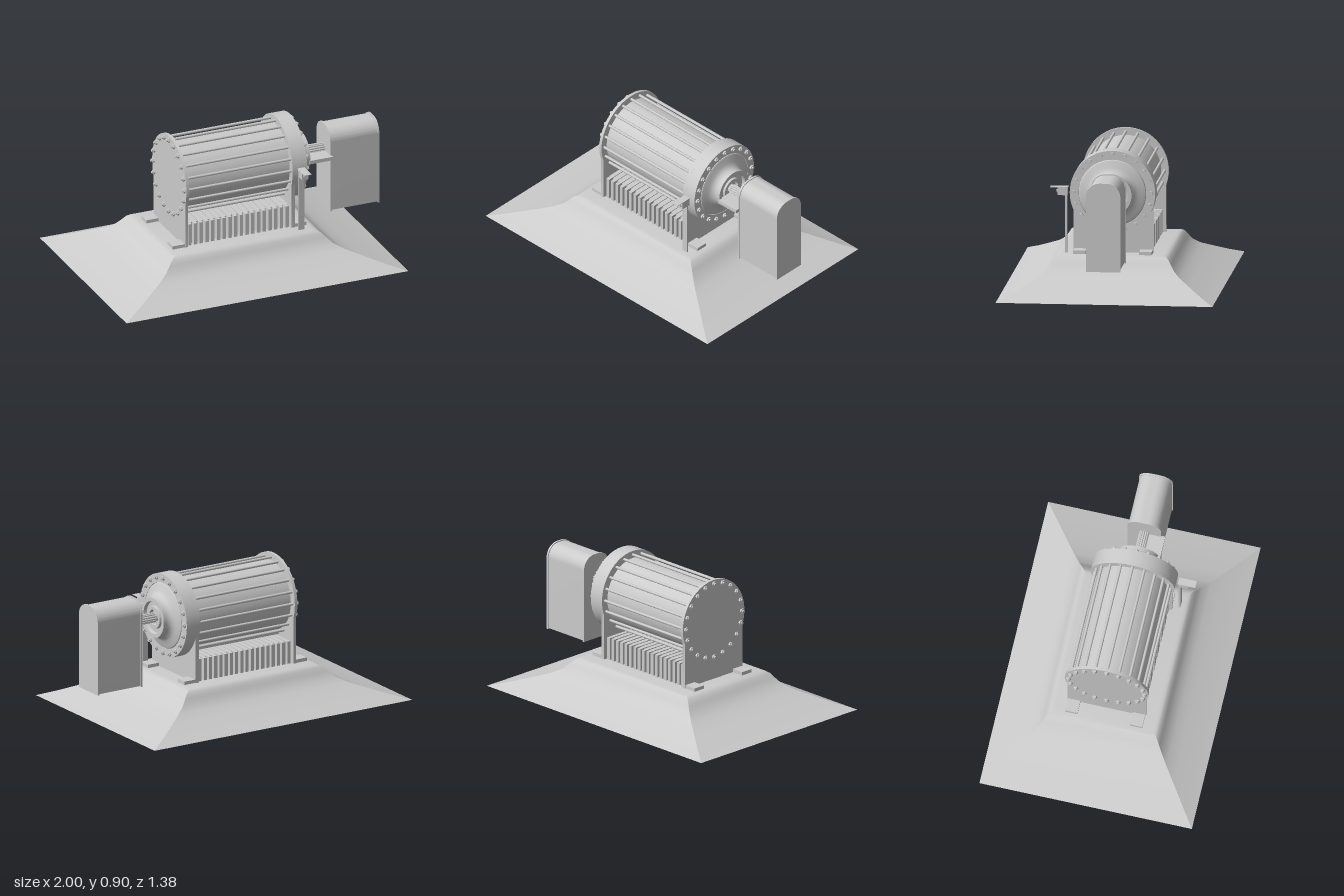
import * as THREE from 'three';
import { toCreasedNormals } from 'three/addons/utils/BufferGeometryUtils.js';

const AXIS_Y = 0.625, BASE_Y = 0.23;

export function createModel() {
  const model = new THREE.Group();
  const grey = new THREE.MeshStandardMaterial({ color: 0xcccccc });

  function add(name, geometry, x = 0, y = 0, z = 0, parent = model) {
    const mesh = new THREE.Mesh(geometry, grey);
    mesh.name = name;
    mesh.position.set(x, y, z);
    parent.add(mesh);
    return mesh;
  }
  // box from min and max corners
  function box(name, x0, x1, y0, y1, z0, z1, parent) {
    return add(name, new THREE.BoxGeometry(x1 - x0, y1 - y0, z1 - z0),
      (x0 + x1) / 2, (y0 + y1) / 2, (z0 + z1) / 2, parent);
  }
  // cylinder lying along x
  function rod(name, r, x0, x1, y, z, sides = 12, parent) {
    const g = new THREE.CylinderGeometry(r, r, x1 - x0, sides).rotateZ(-Math.PI / 2);
    return add(name, g, (x0 + x1) / 2, y, z, parent);
  }
  // profile of [x, radius] turned about the machine axis
  function turned(name, profile) {
    const pts = profile.map(([x, r]) => new THREE.Vector2(r, x));
    const g = new THREE.LatheGeometry(pts, 64).rotateZ(-Math.PI / 2);
    return add(name, toCreasedNormals(g, 0.5), 0, AXIS_Y, 0);
  }
  // (z, y) outline extruded along x
  function slab(name, shape, x0, x1) {
    const g = new THREE.ExtrudeGeometry(shape, { depth: x1 - x0, bevelEnabled: false, curveSegments: 24 });
    g.rotateY(Math.PI / 2);
    return add(name, toCreasedNormals(g, 0.5), x0, 0, 0);
  }

  // flared plinth
  add('plinth', plinthGeometry(), -0.0275, 0, 0);

  // drum body
  rod('drum', 0.225, -0.39, 0.34, AXIS_Y, 0, 64);

  // end plates: round head on straight legs
  const plate = new THREE.Shape();
  const hw = 0.255, R = 0.272, a = -Math.acos(hw / R);
  plate.moveTo(-hw, BASE_Y - 0.005);
  plate.lineTo(hw, BASE_Y - 0.005);
  plate.lineTo(hw, AXIS_Y + R * Math.sin(a));
  plate.absarc(0, AXIS_Y, R, a, Math.PI - a, false);
  plate.closePath();
  slab('rearEndPlate', plate, -0.405, -0.385);
  slab('driveEndPlate', plate, 0.328, 0.352);

  // mounting feet
  for (const s of [-1, 1]) {
    const z0 = s > 0 ? 0.17 : -0.25, z1 = z0 + 0.08;
    box('rearFoot', -0.49, -0.4, BASE_Y - 0.005, 0.252, z0, z1);
    box('driveFoot', 0.345, 0.435, BASE_Y - 0.005, 0.252, z0, z1);
  }

  // tie rods with hexagonal nuts at both ends
  const ties = new THREE.Group();
  ties.name = 'tieRods';
  model.add(ties);
  for (let i = 0; i < 20; i++) {
    const t = i * Math.PI / 10;
    const y = AXIS_Y + 0.247 * Math.cos(t), z = 0.247 * Math.sin(t);
    rod('tieRod', 0.009, -0.39, 0.34, y, z, 10, ties);
    for (const [x0, x1, tip] of [[-0.417, -0.404, -0.426], [0.429, 0.442, 0.45]]) {
      const nut = rod('nut', 0.016, x0, x1, y, z, 6, ties);
      nut.geometry = toCreasedNormals(nut.geometry, 0.3);
      rod('stud', 0.009, Math.min(x0, tip), Math.max(x1, tip), y, z, 10, ties);
    }
  }

  // drive end flange
  turned('flange', [[0.35, 0], [0.35, 0.272], [0.43, 0.272], [0.43, 0.215], [0.42, 0.215], [0.42, 0]]);

  // domed cover flowing into a recessed bearing hub
  turned('bearingCover', [
    [0.42, 0.215], [0.432, 0.21], [0.44, 0.19], [0.447, 0.165], [0.458, 0.145], [0.475, 0.133],
    [0.49, 0.13], [0.512, 0.13], [0.512, 0.105], [0.49, 0.1], [0.49, 0.075], [0.505, 0.072],
    [0.505, 0.05], [0.48, 0.05], [0.48, 0]]);

  // splined drive shaft
  rod('shaft', 0.027, 0.45, 0.67, AXIS_Y, 0, 24);
  for (let i = 0; i < 12; i++) {
    const t = i * Math.PI / 6;
    rod('shaftSpline', 0.006, 0.5, 0.665, AXIS_Y + 0.027 * Math.cos(t), 0.027 * Math.sin(t), 8);
  }
  box('shaftGuard', 0.505, 0.665, 0.588, 0.612, 0.01, 0.135);

  // cooling fins below the drum
  box('finCore', -0.386, 0.33, BASE_Y - 0.005, 0.372, -0.2, 0.2);
  const fins = 18, pitch = 0.71 / fins;
  for (let i = 0; i < fins; i++) {
    const x = -0.384 + (i + 0.2) * pitch;
    box('fin', x, x + pitch * 0.6, BASE_Y - 0.005, 0.377, -0.236, 0.236);
  }

  // gear case with a lip at each end
  const arch = (w, y0, y1, r) => {
    const s = new THREE.Shape();
    s.moveTo(-w, y0);
    s.lineTo(w, y0);
    s.lineTo(w, y1 - r);
    s.absarc(w - r, y1 - r, r, 0, Math.PI / 2, false);
    s.absarc(r - w, y1 - r, r, Math.PI / 2, Math.PI, false);
    s.closePath();
    return s;
  };
  slab('gearCase', arch(0.104, 0.226, 0.784, 0.084), 0.67, 0.99);
  slab('gearCaseInnerLip', arch(0.11, 0.22, 0.79, 0.09), 0.658, 0.67);
  slab('gearCaseOuterLip', arch(0.11, 0.22, 0.79, 0.09), 0.985, 0.997);

  // control post with a switch box and small canopy
  box('controlPost', 0.355, 0.395, BASE_Y - 0.01, 0.64, 0.293, 0.304);
  box('switchBox', 0.357, 0.402, 0.6, 0.65, 0.29, 0.352);
  box('canopy', 0.355, 0.403, 0.65, 0.654, 0.285, 0.4);
  const button = new THREE.CylinderGeometry(0.012, 0.012, 0.012, 16).rotateX(Math.PI / 2);
  add('switchButton', button, 0.38, 0.624, 0.355);

  return model;
}

// rectangular loops stacked along a concave slope
function plinthGeometry() {
  const slope = [[0, 0], [0.25, 0.037], [0.5, 0.08], [0.7, 0.115], [0.83, 0.15],
    [0.9, 0.185], [0.95, 0.212], [1, 0.225], [1.06, BASE_Y]];
  const loops = slope.map(([t, y]) => {
    const x = 0.972 - 0.48 * t, z = 0.69 - 0.345 * t;
    return [[x, y, z], [x, y, -z], [-x, y, -z], [-x, y, z]];
  });
  const pos = [];
  const quad = (a, b, c, d) => pos.push(...a, ...b, ...c, ...a, ...c, ...d);
  for (let i = 0; i + 1 < loops.length; i++) {
    for (let k = 0; k < 4; k++) {
      const n = (k + 1) % 4;
      quad(loops[i][k], loops[i][n], loops[i + 1][n], loops[i + 1][k]);
    }
  }
  quad(...loops[loops.length - 1]);
  quad(...[...loops[0]].reverse());
  const g = new THREE.BufferGeometry();
  g.setAttribute('position', new THREE.Float32BufferAttribute(pos, 3));
  return toCreasedNormals(g, 0.45);
}
